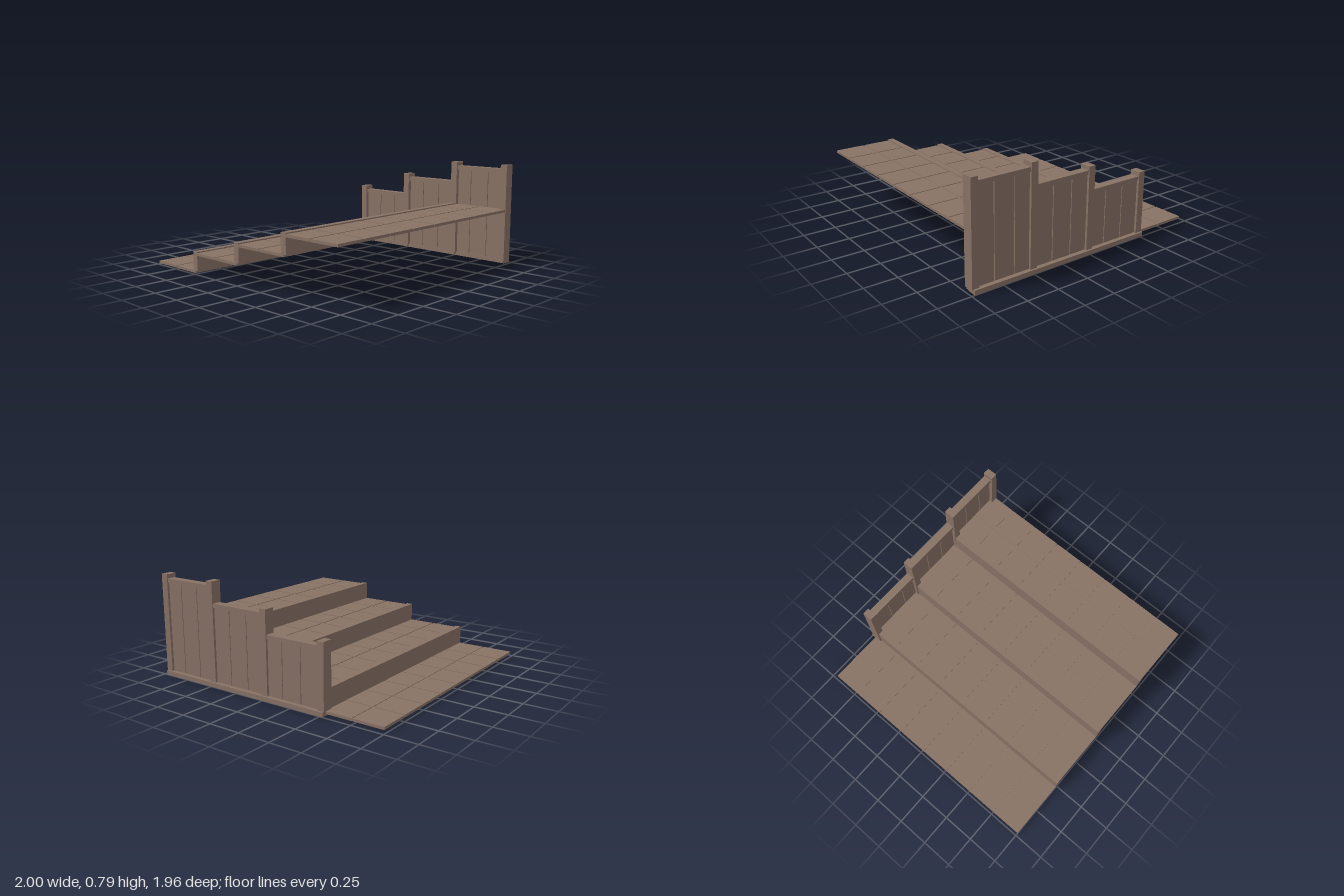
import * as THREE from 'three';

const wood = new THREE.MeshStandardMaterial({ color: 0x887265 });
wood.name = 'brown wood';

// Box given by its lower and upper limits on each axis
function block(parent, name, x0, x1, y0, y1, z0, z1) {
  const mesh = new THREE.Mesh(new THREE.BoxGeometry(x1 - x0, y1 - y0, z1 - z0), wood);
  mesh.position.set((x0 + x1) / 2, (y0 + y1) / 2, (z0 + z1) / 2);
  mesh.name = name;
  parent.add(mesh);
}

export function createModel() {
  const model = new THREE.Group();
  model.name = 'steppedTerrace';

  // Four tiers rising towards the front, each with two rows of eight tiles
  const left = -1, right = 0.96, back = -0.98;
  const tile = 0.245, depth = 0.245, gap = 0.012, thick = 0.02, rise = 0.135;
  for (let tier = 0; tier < 4; tier++) {
    const floor = new THREE.Group();
    floor.name = 'floorTier';
    model.add(floor);
    const top = 0.031 + tier * rise;
    const z0 = back + tier * depth * 2, z1 = z0 + depth * 2;
    for (let row = 0; row < 2; row++) {
      for (let col = 0; col < 8; col++) {
        const x = left + col * tile, z = z0 + row * depth;
        block(floor, 'floorTile',
          x + (col > 0 ? gap / 2 : 0), x + tile - (col < 7 ? gap / 2 : 0),
          top - thick, top,
          z + (row > 0 ? gap / 2 : 0), z + depth - (row < 1 ? gap / 2 : 0));
      }
    }
    // Slightly recessed joints between the tiles
    for (let col = 1; col < 8; col++) {
      const x = left + col * tile;
      block(floor, 'tileJoint', x - gap / 2, x + gap / 2, top - thick + 0.002, top - 0.004, z0, z1);
    }
    block(floor, 'tileJoint', left, right, top - thick + 0.0025, top - 0.0045,
      z0 + depth - gap / 2, z0 + depth + gap / 2);
    // Riser standing on the tier behind, its top a raised nosing
    if (tier > 0) {
      block(model, 'riser', left, right, top - rise - 0.002, top + 0.009, z0 - 0.024, z0 + 0.024);
    }
  }

  // Stepped fence along the left side
  const fence = new THREE.Group();
  fence.name = 'fence';
  model.add(fence);
  block(fence, 'sill', 0.925, 1, 0, 0.033, -0.525, 0.975);
  const posts = [[0.957, 0.787], [0.492, 0.787], [-0.007, 0.655], [-0.498, 0.51]];
  for (const [z, top] of posts) {
    block(fence, 'post', 0.9, 0.984, 0.025, top, z - 0.0275, z + 0.0275);
    block(fence, 'postFoot', 0.903, 0.932, 0.006, 0.03, z - 0.018, z + 0.018);
  }

  // Three fence bays, each with a top rail and three boards
  [0.755, 0.626, 0.477].forEach((railTop, i) => {
    const z0 = posts[i + 1][0] + 0.0275, z1 = posts[i][0] - 0.0275;
    block(fence, 'topRail', 0.913, 0.977, railTop - 0.032, railTop, z0, z1);
    // Board joints fall on a regular spacing along the fence
    const joint = 0.16, slit = 0.003, first = (1 - i) * 0.48;
    const edges = [z0, first + joint, first + 2 * joint, z1];
    for (let b = 0; b < 3; b++) {
      block(fence, 'board', 0.93, 0.966, 0.03, railTop - 0.03,
        edges[b] + (b > 0 ? slit : 0), edges[b + 1] - (b < 2 ? slit : 0));
    }
  });

  return model;
}
